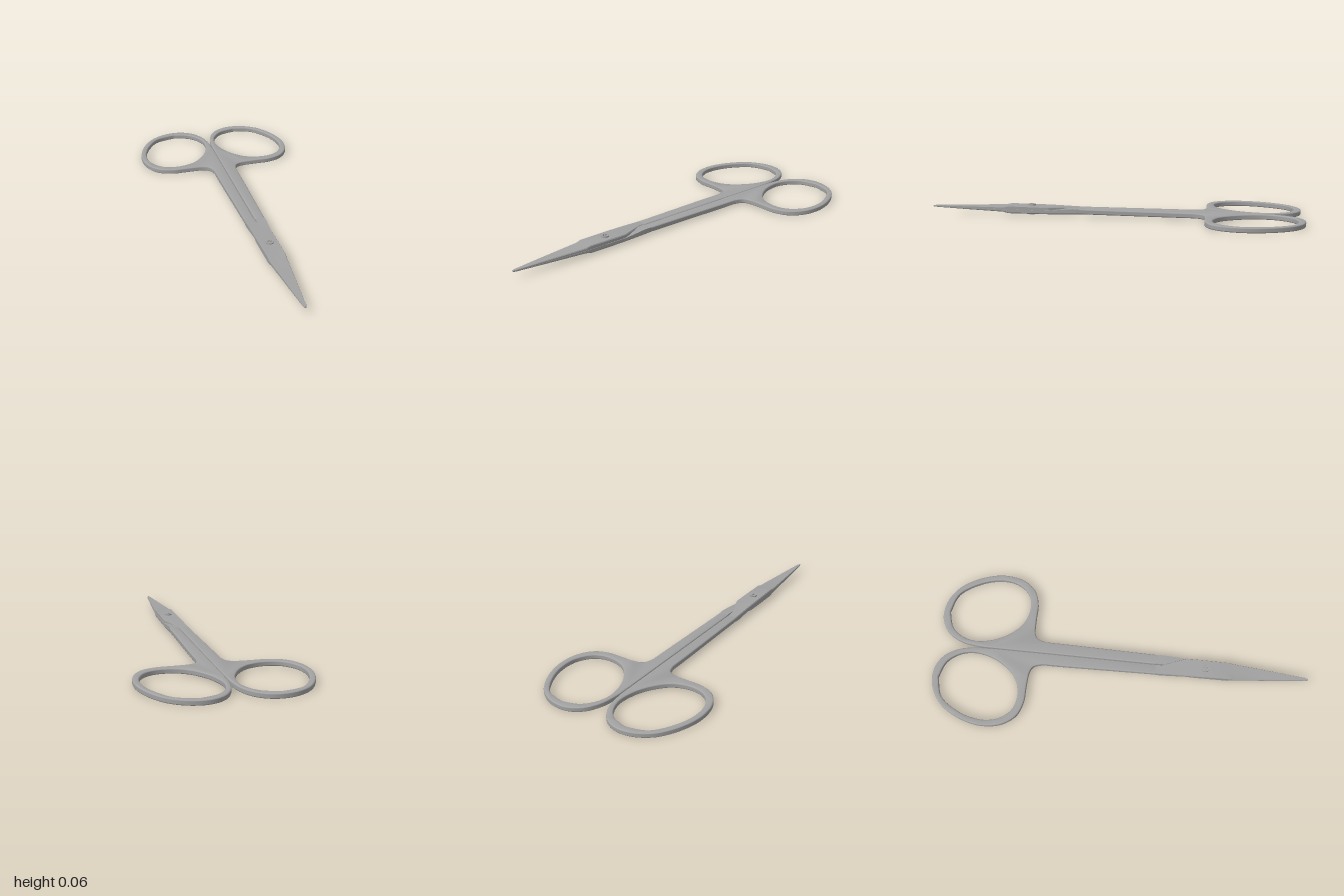
import * as THREE from 'three';
import { toCreasedNormals } from 'three/addons/utils/BufferGeometryUtils.js';

const steel = new THREE.MeshStandardMaterial({ color: 0xa2a2a2 });
steel.name = 'steel';

const HALF = 0.0135; // half thickness of the handles

// Plan coordinates are (x, z); shapes are drawn with y = -z
const plan = (pts) => pts.map(([x, z]) => new THREE.Vector2(x, -z));

// Extrude a plan shape upwards, centred on y, with softened edges
function plate(shape, height, bevel) {
  const geo = new THREE.ExtrudeGeometry(shape, {
    depth: height - 2 * bevel, bevelEnabled: true, bevelSize: bevel, bevelOffset: -bevel,
    bevelThickness: bevel, bevelSegments: 3, curveSegments: 6,
  });
  geo.translate(0, 0, bevel - height / 2);
  geo.rotateX(-Math.PI / 2);
  return toCreasedNormals(geo, 0.65);
}

// Finger ring and shank in one outline
function handleGeometry() {
  const shape = new THREE.Shape();
  shape.moveTo(-0.002, -0.2);
  shape.lineTo(-0.002, 0.70);
  shape.splineThru(plan([
    [-0.004, -0.78], [-0.02, -0.87], [-0.06, -0.945], [-0.12, -0.988], [-0.19, -1], [-0.27, -0.98],
    [-0.345, -0.925], [-0.405, -0.825], [-0.434, -0.71], [-0.42, -0.6], [-0.365, -0.522],
    [-0.285, -0.491], [-0.2, -0.489], [-0.12, -0.485], [-0.08, -0.465], [-0.064, -0.42],
  ]));
  shape.lineTo(-0.063, 0.3);
  shape.lineTo(-0.053, -0.2);
  const ring = new THREE.SplineCurve(plan([
    [-0.19, -0.966], [-0.1, -0.935], [-0.045, -0.86], [-0.034, -0.77], [-0.068, -0.66], [-0.145, -0.565],
    [-0.245, -0.53], [-0.335, -0.55], [-0.39, -0.62], [-0.403, -0.71], [-0.375, -0.82], [-0.3, -0.93],
    [-0.19, -0.966],
  ]));
  shape.holes.push(new THREE.Path(ring.getPoints(72).slice(0, -1)));
  return plate(shape, 2 * HALF, 0.006);
}

// Blade lofted along z: crossover, pivot block, step, tapered point
function bladeGeometry() {
  // z, outer x, inner x, top, bottom, bow of the step
  const rows = [
    [0.185, -0.053, -0.002, HALF, -HALF, 0],
    [0.22, -0.053, -0.002, 0.0145, -HALF, 0],
    [0.285, -0.052, 0.023, 0.017, -0.007, 0],
    [0.35, -0.051, 0.047, 0.019, 0, 0],
    [0.42, -0.05, 0.047, 0.02, 0, 0],
    [0.572, -0.047, 0.045, 0.021, 0, -0.014],
    [0.6, -0.045, 0.043, 0.014, 0, -0.014],
    [0.8, -0.026, 0.025, 0.0095, 0, 0],
    [0.985, -0.008, 0.008, 0.0045, 0, 0],
    [1, -0.004, 0.004, 0.0035, 0, 0],
  ];
  const sections = rows.map(([z, xo, xi, t, b, bow]) => {
    const c = Math.min(0.005, t * 0.4), m = -0.002, mid = (xo + xi) / 2;
    const s = z < 0.21 ? b : 0;
    return [
      [xo, b, z], [m, b, z], [m, s, z], [xi, s, z], [xi, t - c, z], [xi - c * 0.6, t, z],
      [mid, t, z + bow], [xo + c * 0.6, t, z], [xo, t - c, z],
    ];
  });
  const pos = [];
  const n = sections[0].length;
  for (let r = 0; r < sections.length - 1; r++) {
    for (let i = 0; i < n; i++) {
      const j = (i + 1) % n, p = sections[r], q = sections[r + 1];
      pos.push(...p[i], ...p[j], ...q[j], ...p[i], ...q[j], ...q[i]);
    }
  }
  const tip = sections[sections.length - 1];
  for (let i = 1; i < n - 1; i++) pos.push(...tip[0], ...tip[i], ...tip[i + 1]);
  const geo = new THREE.BufferGeometry();
  geo.setAttribute('position', new THREE.Float32BufferAttribute(pos, 3));
  return toCreasedNormals(geo, 0.35);
}

// Screw head with a cross recess
function screwHeadGeometry() {
  const shape = new THREE.Shape();
  shape.absarc(0, 0, 0.021, 0, Math.PI * 2);
  const a = 0.013, w = 0.003;
  const cross = [];
  for (let k = 0; k < 4; k++) {
    const ang = k * Math.PI / 2;
    for (const [x, y] of [[a, -w], [a, w], [w, w]]) {
      cross.push(new THREE.Vector2(x, y).rotateAround(new THREE.Vector2(), ang));
    }
  }
  shape.holes.push(new THREE.Path(cross));
  const geo = new THREE.ExtrudeGeometry(shape, { depth: 0.007, bevelEnabled: false, curveSegments: 12 });
  geo.rotateX(-Math.PI / 2);
  return toCreasedNormals(geo, 0.65);
}

export function createModel() {
  const model = new THREE.Group();
  model.name = 'scissors';
  const body = new THREE.Group();
  body.name = 'scissorsBody';
  model.add(body);

  const parts = [
    ['handle', handleGeometry(), 0, 0],
    ['blade', bladeGeometry(), 0, 0],
    ['screwHead', screwHeadGeometry(), 0.0205, 0.45],
  ];
  // The second half is the first turned half a turn about the long axis
  for (const [name, turn] of [['upperHalf', 0], ['lowerHalf', Math.PI]]) {
    const half = new THREE.Group();
    half.name = name;
    for (const [part, geo, y, z] of parts) {
      const mesh = new THREE.Mesh(geo, steel);
      mesh.name = part;
      mesh.position.set(0, y, z);
      half.add(mesh);
    }
    half.rotation.z = turn;
    body.add(half);
  }

  // Slight rise from the rings to the point
  body.rotation.x = -0.0127;
  body.position.y = 0.0265;
  return model;
}
